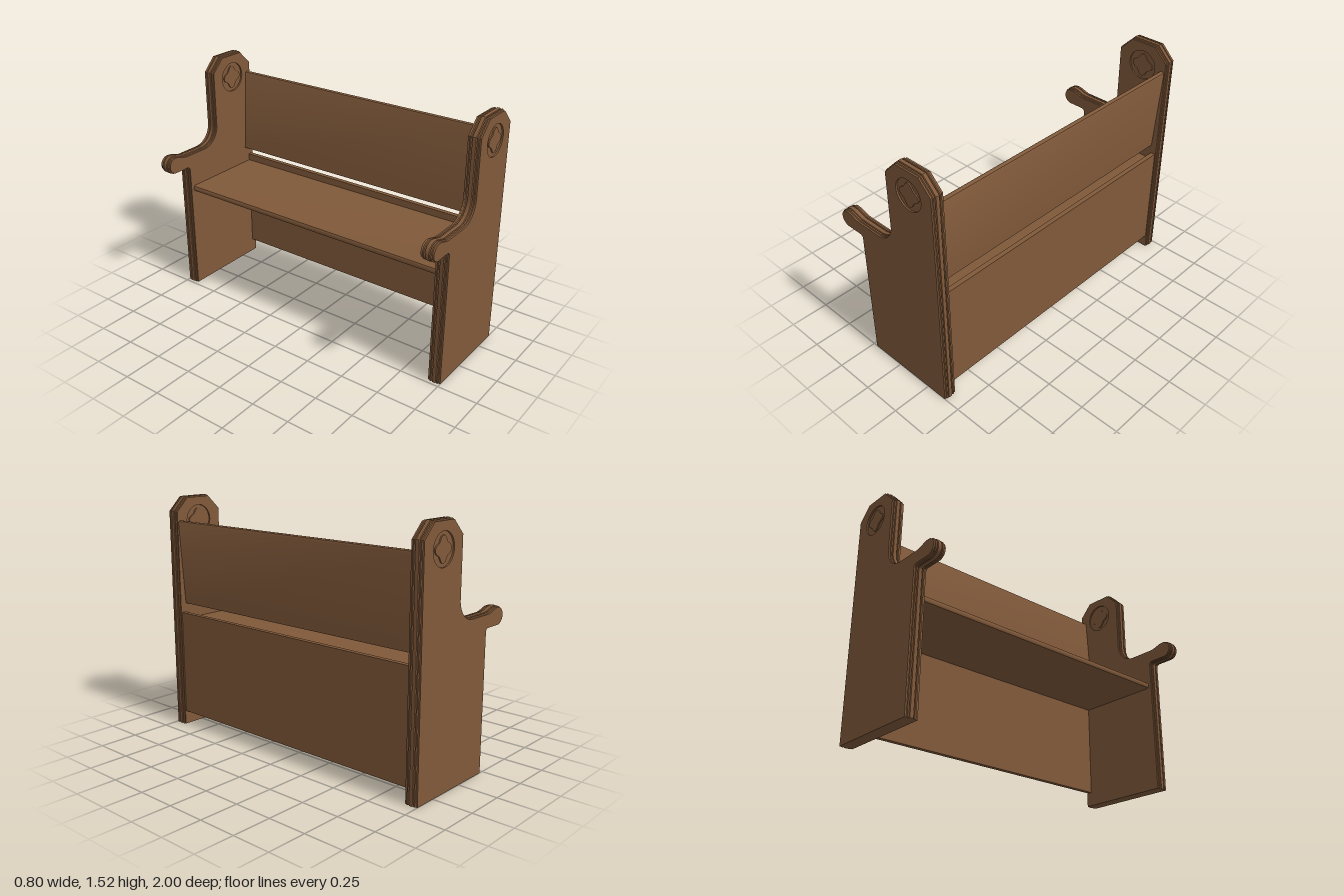
import * as THREE from 'three';
import { toCreasedNormals } from 'three/addons/utils/BufferGeometryUtils.js';

const wood = new THREE.MeshStandardMaterial({ color: 0x80593a });
wood.name = 'brownWood';

const PANEL_Z = 0.96;   // centre of each end panel
const SPAN = 1.85;      // length of the boards between the panels
const MEDAL = { x: 0.22, y: 1.365, r: 0.095 };

function mesh(name, geometry) {
  const m = new THREE.Mesh(geometry, wood);
  m.name = name;
  return m;
}

// Outline of an end panel, counter-clockwise, with armrest and clipped top
function panelOutline() {
  const s = new THREE.Shape();
  s.moveTo(-0.23, 0);
  s.lineTo(0.40, 0);
  s.lineTo(0.40, 1.43);
  s.lineTo(0.31, 1.52);
  s.lineTo(0.13, 1.52);
  s.lineTo(0.04, 1.43);
  s.lineTo(0.04, 1.075);
  s.absarc(-0.08, 1.075, 0.12, 0, -Math.PI / 2, true);
  s.lineTo(-0.24, 0.955);
  s.bezierCurveTo(-0.28, 0.958, -0.30, 0.978, -0.343, 0.978);
  s.absarc(-0.343, 0.919, 0.059, Math.PI / 2, Math.PI * 1.5, false);
  s.lineTo(-0.245, 0.86);
  s.quadraticCurveTo(-0.23, 0.86, -0.23, 0.845);
  const pts = s.getPoints(12);
  return pts.filter((p, i) => p.distanceTo(pts[(i + 1) % pts.length]) > 1e-4);
}

// Move the outline inwards, keeping the foot on the floor
function inset(pts, d) {
  const n = pts.length;
  return pts.map((p, i) => {
    if (p.y < 1e-6) return new THREE.Vector2(p.x - Math.sign(p.x) * d, 0);
    const a = p.clone().sub(pts[(i + n - 1) % n]).normalize();
    const b = pts[(i + 1) % n].clone().sub(p).normalize();
    const n1 = new THREE.Vector2(-a.y, a.x);
    const n2 = new THREE.Vector2(-b.y, b.x);
    const k = d / (1 + n1.dot(n2));
    return p.clone().add(n1.add(n2).multiplyScalar(k));
  });
}

// Moulded edge: rings of the outline at [z, inset]
function mouldedEdge(outline) {
  const half = [[0.03, 0.009], [0.027, 0.002], [0.018, 0.002], [0.015, 0.010], [0.011, 0.002], [0.006, 0]];
  const profile = [...half.map(([z, d]) => [-z, d]), ...half.slice().reverse()];
  const rings = profile.map(([z, d]) => inset(outline, d).map(p => [p.x, p.y, z]));
  const pos = [];
  for (let k = 0; k < rings.length - 1; k++) {
    for (let i = 0; i < outline.length; i++) {
      const j = (i + 1) % outline.length;
      const a = rings[k][i], b = rings[k][j], c = rings[k + 1][j], d = rings[k + 1][i];
      pos.push(...a, ...b, ...c, ...a, ...c, ...d);
    }
  }
  const g = new THREE.BufferGeometry();
  g.setAttribute('position', new THREE.Float32BufferAttribute(pos, 3));
  return toCreasedNormals(g, 0.5);
}

// Face plate with a round recess and a four-lobed ornament inside it
function panelFace(outline) {
  const face = new THREE.Group();
  face.name = 'panelFace';
  const plate = new THREE.Shape(inset(outline, 0.008));
  const hole = new THREE.Path();
  hole.absarc(MEDAL.x, MEDAL.y, MEDAL.r, 0, Math.PI * 2, true);
  plate.holes.push(hole);
  const plateGeo = new THREE.ExtrudeGeometry(plate, { depth: 0.01, bevelEnabled: false, curveSegments: 40 });
  face.add(mesh('facePlate', toCreasedNormals(plateGeo.translate(0, 0, 0.03), 0.5)));

  const floor = new THREE.CircleGeometry(MEDAL.r + 0.002, 40);
  face.add(mesh('recessFloor', floor.translate(MEDAL.x, MEDAL.y, 0.0305)));

  const lobes = [];
  for (let i = 0; i < 48; i++) {
    const t = (i / 48) * Math.PI * 2;
    const r = 0.063 + 0.011 * Math.cos(4 * t);
    lobes.push(new THREE.Vector2(MEDAL.x + r * Math.cos(t), MEDAL.y + r * Math.sin(t)));
  }
  const lobeGeo = new THREE.ExtrudeGeometry(new THREE.Shape(lobes), { depth: 0.008, bevelEnabled: false });
  face.add(mesh('ornament', toCreasedNormals(lobeGeo.translate(0, 0, 0.03), 0.5)));
  return face;
}

function endPanel(name) {
  const panel = new THREE.Group();
  panel.name = name;
  const outline = panelOutline();
  panel.add(mesh('mouldedEdge', mouldedEdge(outline)));
  for (const side of [1, -1]) {
    const face = panelFace(outline);
    face.scale.z = side;
    panel.add(face);
  }
  return panel;
}

// Long board with its x-y section given as corner points
function board(name, section) {
  const shape = new THREE.Shape(section.map(([x, y]) => new THREE.Vector2(x, y)));
  const g = new THREE.ExtrudeGeometry(shape, { depth: SPAN, bevelEnabled: false });
  return mesh(name, toCreasedNormals(g.translate(0, 0, -SPAN / 2), 0.6));
}

export function createModel() {
  const bench = new THREE.Group();
  bench.name = 'bench';

  for (const side of [1, -1]) {
    const panel = endPanel(side > 0 ? 'frontEndPanel' : 'rearEndPanel');
    panel.position.z = side * PANEL_Z;
    bench.add(panel);
  }

  // Seat with a rounded front edge
  bench.add(board('seat', [
    [0.36, 0.685], [0.36, 0.725], [-0.188, 0.725], [-0.196, 0.721],
    [-0.2, 0.713], [-0.2, 0.697], [-0.196, 0.689], [-0.188, 0.685],
  ]));
  // Leaning backrest with a rounded top
  bench.add(board('backrest', [
    [0.318, 0.83], [0.352, 0.828], [0.386, 1.355], [0.382, 1.365],
    [0.374, 1.37], [0.364, 1.37], [0.356, 1.366], [0.352, 1.357],
  ]));
  // Upright board below the backrest
  bench.add(board('lowerBackPanel', [[0.355, 0.09], [0.385, 0.09], [0.385, 0.77], [0.355, 0.77]]));

  return bench;
}
